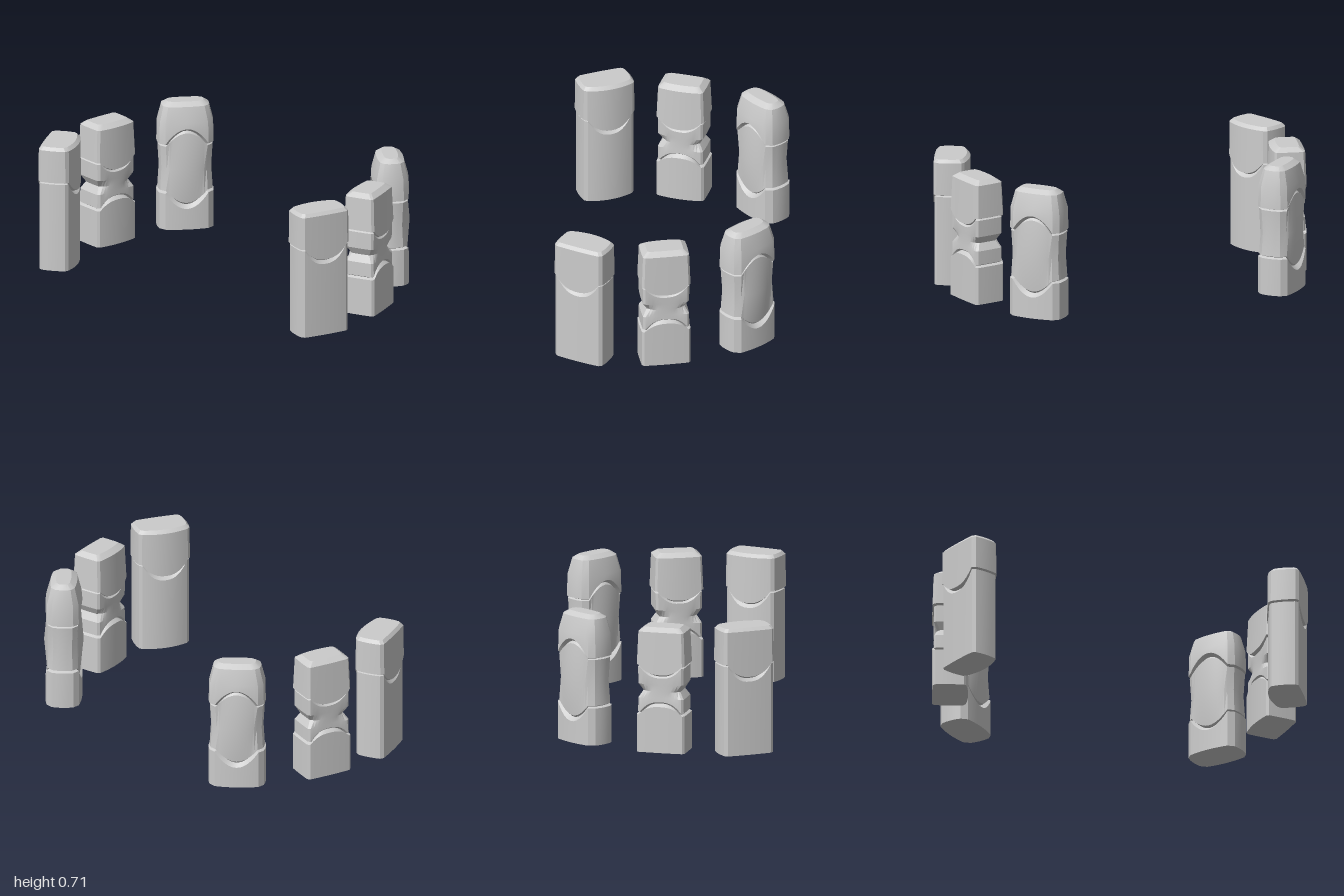
import * as THREE from 'three';
import { toCreasedNormals } from 'three/addons/utils/BufferGeometryUtils.js';

// Each stone: half width w (x) and half length l (z), chamfered corners, bulged faces.
// Level rows: [y at the ends, y at mid face, inset at the ends, inset at mid face].
const STONES = [
  {
    name: 'frontStone', at: [0.862, 0.417], turn: -0.42, w: 0.083, l: 0.143, chamfer: 0.016,
    outer: 0.004, inner: 0.024, end: 0.006, power: 2.5,
    levels: [
      [0, 0, 0.005, 0.004], [0.482, 0.395, 0.005, 0.004],
      [0.486, 0.412, 0.016, 0.018], [0.492, 0.422, 0, 0],
      [0.668, 0.668, 0.002, 0.002], [0.685, 0.685, 0.016, 0.016],
    ],
  },
  {
    name: 'middleStone', at: [0.871, -0.002], turn: 0.22, w: 0.088, l: 0.13, chamfer: 0.012,
    outer: 0.003, inner: 0.012, end: 0.002, power: 2.6,
    levels: [
      [0.01, 0.01, 0, 0], [0.212, 0.258, 0, 0],
      [0.22, 0.274, 0.016, 0.018], [0.226, 0.282, 0.006, 0.008],
      [0.3, 0.305, 0.007, 0.009], [0.338, 0.338, 0.03, 0.01], [0.378, 0.372, 0.007, 0.009],
      [0.468, 0.411, 0.006, 0.008], [0.474, 0.42, 0.016, 0.018], [0.48, 0.43, 0, 0],
      [0.658, 0.658, 0.007, 0.007], [0.68, 0.68, 0.035, 0.035],
    ],
  },
  {
    name: 'backStone', at: [0.681, -0.428], turn: Math.PI / 4, w: 0.085, l: 0.143, chamfer: 0.028,
    outer: 0.012, inner: 0.012, end: 0.008, power: 2,
    levels: [
      [0.015, 0.015, 0, 0], [0.215, 0.13, 0, 0],
      [0.222, 0.15, 0.016, 0.02], [0.228, 0.16, 0.005, 0.01],
      [0.35, 0.35, 0.012, -0.006],
      [0.476, 0.548, 0.005, 0.01], [0.482, 0.56, 0.016, 0.02], [0.488, 0.575, 0, 0],
      [0.605, 0.605, 0.003, 0.003], [0.69, 0.69, 0.023, 0.023], [0.71, 0.71, 0.05, 0.05],
    ],
  },
];

// Outline of a stone, counter-clockwise from above; t runs -1..1 along the long faces
function outline({ w, l, chamfer, outer, inner, end }, side) {
  const pts = [];
  const FACE = 12, END = 4;
  const along = (n, fn) => { for (let i = 0; i <= n; i++) fn(1 - (2 * i) / n); };
  const longFace = (sign, bulge) => along(FACE, (t) => pts.push({
    x: sign * (w + bulge * (1 - t * t)), z: sign * t * (l - chamfer), t,
  }));
  const shortEnd = (sign) => along(END, (t) => pts.push({
    x: sign * t * (w - chamfer), z: -sign * (l + end * (1 - t * t)), t: 1,
  }));
  longFace(1, outer);
  shortEnd(1);
  longFace(-1, inner);
  shortEnd(-1);
  if (side < 0) {
    pts.forEach((p) => { p.x = -p.x; });
    pts.reverse();
  }
  return pts;
}

// Loft the outline through the levels, so grooves and medallions follow arcs on the long faces
function stoneGeometry(stone, side) {
  const ring = outline(stone, side);
  const n = ring.length;
  const { levels, w, l, power } = stone;
  const pos = [], index = [];
  const mix = THREE.MathUtils.lerp;
  for (const [yEnd, yMid, insetEnd, insetMid] of levels) {
    for (const { x, z, t } of ring) {
      const arc = 1 - Math.abs(t) ** power;
      const inset = mix(insetEnd, insetMid, arc);
      pos.push(x * (1 - inset / w), mix(yEnd, yMid, arc), z * (1 - inset / l));
    }
  }
  const last = levels.length - 1;
  for (let j = 0; j < last; j++) {
    for (let i = 0; i < n; i++) {
      const a = j * n + i, b = j * n + (i + 1) % n;
      index.push(a, b, b + n, a, b + n, a + n);
    }
  }
  // Flat bottom and top
  const bottom = pos.length / 3, top = bottom + 1;
  pos.push(0, levels[0][0], 0, 0, levels[last][0], 0);
  for (let i = 0; i < n; i++) {
    const k = (i + 1) % n;
    index.push(bottom, k, i, top, last * n + i, last * n + k);
  }
  const geo = new THREE.BufferGeometry();
  geo.setAttribute('position', new THREE.Float32BufferAttribute(pos, 3));
  geo.setIndex(index);
  return toCreasedNormals(geo, 0.4);
}

export function createModel() {
  const model = new THREE.Group();
  model.name = 'standingStones';
  const material = new THREE.MeshStandardMaterial({ color: 0xcccccc });
  // Two mirrored rows of three stones
  for (const side of [1, -1]) {
    const row = new THREE.Group();
    row.name = side > 0 ? 'leftRow' : 'rightRow';
    for (const stone of STONES) {
      const mesh = new THREE.Mesh(stoneGeometry(stone, side), material);
      mesh.name = stone.name;
      mesh.position.set(side * stone.at[0], 0, stone.at[1]);
      mesh.rotation.y = side * stone.turn;
      row.add(mesh);
    }
    model.add(row);
  }
  return model;
}
